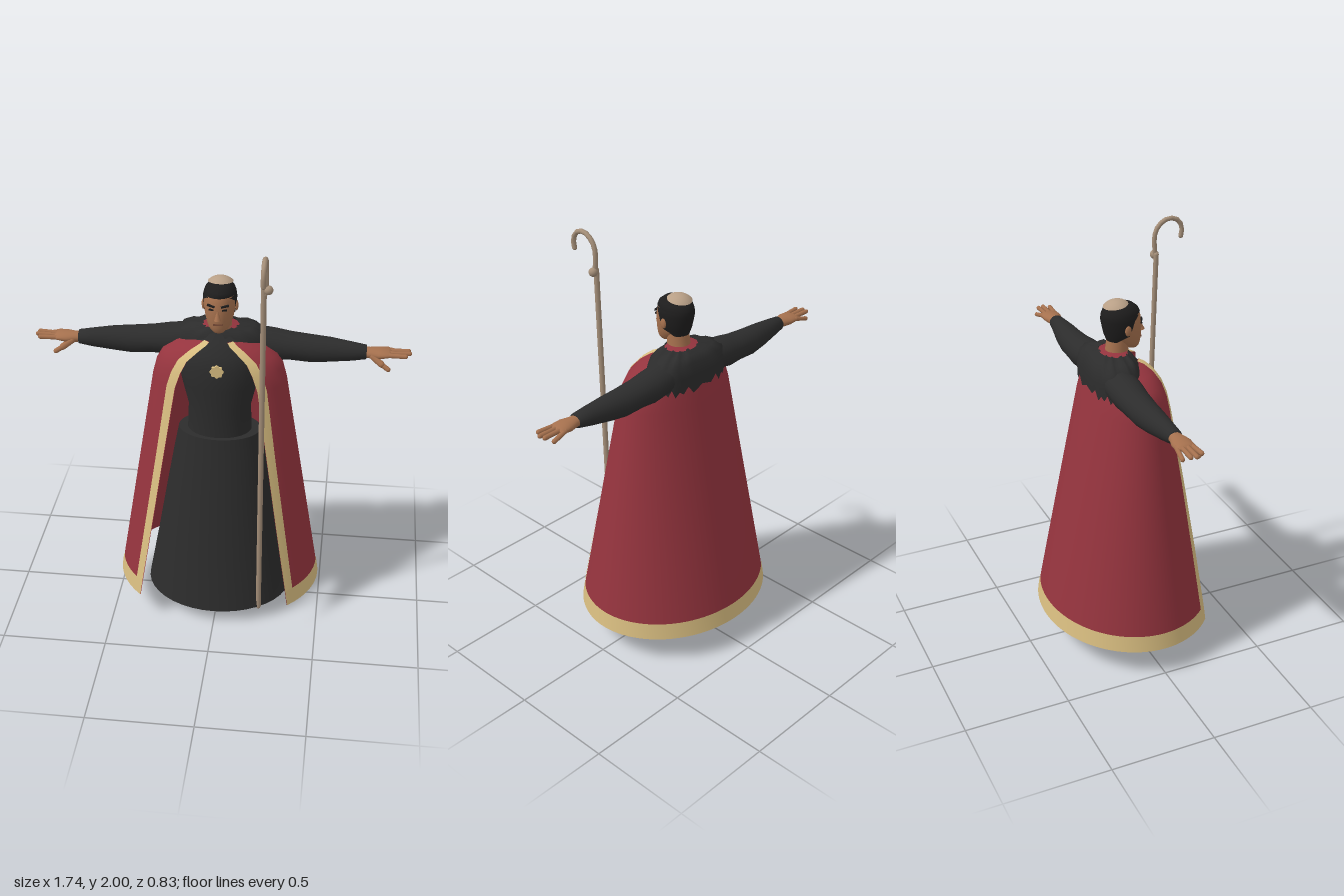
import * as THREE from 'three';

const mat = (name, color, side = THREE.FrontSide) => {
  const m = new THREE.MeshStandardMaterial({ color, side });
  m.name = name;
  return m;
};

const TAU = Math.PI * 2;
const rad = THREE.MathUtils.degToRad;

// Skin a surface over elliptical rings [y, rx, rz, cz, cx, startAngle, endAngle];
// angles run from +z towards +x, rings rise in y. backPower < 1 squares the rear half.
function loft(rings, n = 28, wobble = null, backPower = 1) {
  const open = rings[0].length > 5;
  const cols = open ? n + 1 : n;
  const pos = [], idx = [];
  rings.forEach(([y, rx, rz, cz = 0, cx = 0, a0 = 0, a1 = TAU], i) => {
    for (let j = 0; j < cols; j++) {
      const a = a0 + (a1 - a0) * j / n;
      const p = Math.cos(a) < 0 ? backPower : 1;
      const bend = v => Math.sign(v) * Math.abs(v) ** p;
      pos.push(cx + rx * bend(Math.sin(a)), y + (wobble ? wobble(i, j) : 0), cz + rz * bend(Math.cos(a)));
    }
  });
  for (let i = 0; i < rings.length - 1; i++) {
    for (let j = 0; j < n; j++) {
      const a = i * cols + j, b = i * cols + (j + 1) % cols;
      idx.push(a, b, a + cols, b, b + cols, a + cols);
    }
  }
  const g = new THREE.BufferGeometry();
  g.setAttribute('position', new THREE.Float32BufferAttribute(pos, 3));
  g.setIndex(idx);
  g.computeVertexNormals();
  return g;
}

export function createModel() {
  const model = new THREE.Group();
  const black = mat('blackCloth', 0x2c2c2c, THREE.DoubleSide);
  const red = mat('redCloth', 0x95343e, THREE.DoubleSide);
  const gold = mat('goldTrim', 0xd8bd80);
  const skin = mat('skin', 0xa6714e);
  const hairMat = mat('hair', 0x1e1d1d, THREE.DoubleSide);
  const capMat = mat('capCloth', 0xb89f86, THREE.DoubleSide);
  const wood = mat('staffWood', 0xa58f79);
  const lipMat = mat('lips', 0x7a4c38);

  const add = (name, geo, material, parent = model) => {
    const m = new THREE.Mesh(geo, material);
    m.name = name;
    parent.add(m);
    return m;
  };
  // Rounded rod between two points
  const rod = (name, a, b, r, material, parent) => {
    const p = new THREE.Vector3(...a), q = new THREE.Vector3(...b), d = q.clone().sub(p);
    const m = add(name, new THREE.CapsuleGeometry(r, d.length(), 4, 8), material, parent);
    m.position.copy(p).add(q).multiplyScalar(0.5);
    m.quaternion.setFromUnitVectors(new THREE.Vector3(0, 1, 0), d.normalize());
  };
  const box = (name, w, h, d, x, y, z, material, rz = 0) => {
    const m = add(name, new THREE.BoxGeometry(w, h, d), material);
    m.position.set(x, y, z);
    m.rotation.z = rz;
    return m;
  };

  // Long skirt, open at the bottom
  add('skirt', loft([
    [0.07, 0.356, 0.297, -0.012], [0.35, 0.305, 0.245, -0.01], [0.65, 0.253, 0.19, -0.005],
    [0.85, 0.217, 0.15, 0], [0.968, 0.194, 0.13, 0],
  ], 40), black);
  add('skirtTop', loft([[0.968, 0.194, 0.13], [0.97, 0.1, 0.08]], 40), black);

  // Torso and ragged shoulder mantle
  add('torso', loft([
    [0.95, 0.152, 0.112], [1.1, 0.146, 0.112], [1.22, 0.174, 0.12], [1.32, 0.195, 0.13, -0.01],
    [1.39, 0.19, 0.125, -0.025], [1.44, 0.15, 0.1, -0.04], [1.472, 0.1, 0.075, -0.04],
    [1.487, 0.06, 0.055, -0.035],
  ], 32), black);
  add('shoulderMantle', loft([
    [1.335, 0.205, 0.118, -0.06], [1.4, 0.215, 0.118, -0.06], [1.45, 0.2, 0.105, -0.06],
    [1.475, 0.15, 0.085, -0.055], [1.487, 0.078, 0.06, -0.042],
  ], 44, (i, j) => i === 0 ? [0.02, -0.02, 0.005, -0.01][j % 4] : (i > 1 && j % 4 === 1 ? 0.008 : 0), 0.65), black);
  add('capeCollar', loft([
    [1.489, 0.084, 0.066, -0.044, 0, rad(50), rad(310)], [1.496, 0.05, 0.05, -0.03, 0, rad(50), rad(310)],
  ], 24), red);

  // Cape rows: [y, rx, rz, cz, opening half angle, trim angle]
  const cape = [
    [0.14, 0.49, 0.41, 0, 47, 6], [0.22, 0.478, 0.397, 0, 46.5, 6], [0.55, 0.424, 0.332, 0, 44, 7],
    [0.9, 0.367, 0.262, 0, 41, 8], [1.25, 0.31, 0.19, 0, 37, 10], [1.32, 0.292, 0.172, 0, 34, 10.5],
    [1.375, 0.262, 0.155, -0.005, 31, 11], [1.415, 0.2, 0.135, -0.015, 26, 13],
    [1.437, 0.13, 0.11, -0.02, 24, 16], [1.446, 0.085, 0.09, -0.02, 28, 20],
  ];
  const band = (rows, from, to, out = 0) => rows.map(([y, rx, rz, cz, t, w]) =>
    [y, rx + out, rz + out, cz, 0, rad(from(t, w)), rad(to(t, w))]);
  add('capeCloth', loft(band(cape, t => t, t => 360 - t), 72), red);
  // Gold trim shows on the outer face only; the lining stays red
  add('capeHem', loft(band(cape.slice(0, 2), t => t, t => 360 - t, 0.003), 72), gold);
  add('capeTrimLeft', loft(band(cape.slice(1), t => t, (t, w) => t + w, 0.003), 5), gold);
  add('capeTrimRight', loft(band(cape.slice(1), (t, w) => 360 - t - w, t => 360 - t, 0.003), 5), gold);

  // Brooch on the chest: scalloped disc
  const disc = new THREE.Shape();
  for (let k = 0; k <= 32; k++) {
    const a = k / 32 * TAU, r = 0.029 + 0.003 * Math.cos(a * 8);
    disc[k ? 'lineTo' : 'moveTo'](r * Math.cos(a), r * Math.sin(a));
  }
  add('brooch', new THREE.ExtrudeGeometry(disc, { depth: 0.012, bevelEnabled: false }), gold)
    .position.set(0, 1.33, 0.12);

  // Neck and head
  add('neck', loft([[1.43, 0.06, 0.06, -0.035], [1.485, 0.053, 0.054, -0.03], [1.57, 0.05, 0.052, -0.02]], 20), skin);
  add('head', loft([
    [1.494, 0.002, 0.002, 0.045], [1.497, 0.025, 0.025, 0.045], [1.51, 0.04, 0.042, 0.036],
    [1.53, 0.053, 0.06, 0.023], [1.56, 0.063, 0.078, 0.008], [1.6, 0.07, 0.087, 0.001],
    [1.65, 0.072, 0.089, -0.006], [1.685, 0.065, 0.08, -0.01], [1.708, 0.045, 0.056, -0.012],
    [1.718, 0.002, 0.002, -0.012],
  ]), skin);
  const hairRow = (y, rx, rz, cz, t) => [y, rx, rz, cz, 0, rad(t), rad(360 - t)];
  add('hair', loft([
    hairRow(1.545, 0.058, 0.07, -0.008, 125), hairRow(1.575, 0.069, 0.085, -0.004, 84),
    hairRow(1.61, 0.074, 0.092, -0.005, 76), hairRow(1.645, 0.077, 0.095, -0.009, 66),
    hairRow(1.662, 0.075, 0.092, -0.01, 48), hairRow(1.671, 0.073, 0.09, -0.011, 0),
    hairRow(1.69, 0.066, 0.082, -0.011, 0), hairRow(1.71, 0.046, 0.058, -0.012, 0),
    hairRow(1.722, 0.002, 0.002, -0.012, 0),
  ], 36), hairMat);
  const cap = add('skullcap', new THREE.SphereGeometry(0.082, 28, 8, 0, TAU, 0, 0.78), capMat);
  cap.position.set(0, 1.651, -0.026);
  cap.rotation.x = -0.14;

  // Face
  const nose = add('nose', new THREE.ConeGeometry(0.016, 0.055, 8), skin);
  nose.position.set(0, 1.597, 0.087);
  nose.rotation.x = -0.2;
  box('mouth', 0.04, 0.008, 0.008, 0, 1.546, 0.081, lipMat);
  for (const s of [1, -1]) {
    box('eye', 0.022, 0.007, 0.008, s * 0.029, 1.618, 0.079, hairMat).rotation.y = s * 0.35;
    box('eyebrow', 0.036, 0.008, 0.009, s * 0.031, 1.636, 0.078, hairMat, s * 0.12).rotation.y = s * 0.35;
    const ear = add('ear', new THREE.SphereGeometry(0.02, 10, 8), skin);
    ear.scale.set(0.4, 1.25, 0.8);
    ear.position.set(s * 0.075, 1.605, -0.005);
  }

  for (const s of [1, -1]) {
    // Limb lofted upward, then laid along the side axis: [x, ry, rz, cy, cz]
    const limb = rows => loft(rows.map(([x, ry, rz, cy, cz]) => [x, ry, rz, cz, -s * cy]), 20)
      .rotateZ(-s * Math.PI / 2);
    add('sleeve', limb([
      [0.15, 0.07, 0.08, 1.395, -0.08], [0.25, 0.074, 0.077, 1.38, -0.08], [0.32, 0.065, 0.071, 1.376, -0.08],
      [0.42, 0.065, 0.064, 1.368, -0.078], [0.5, 0.058, 0.056, 1.37, -0.074], [0.6, 0.045, 0.042, 1.371, -0.066],
      [0.665, 0.033, 0.035, 1.373, -0.062], [0.668, 0.015, 0.015, 1.373, -0.062],
    ]), black);
    const hand = new THREE.Group();
    hand.name = 'hand';
    model.add(hand);
    add('palm', limb([
      [0.64, 0.024, 0.028, 1.373, -0.062], [0.68, 0.024, 0.032, 1.372, -0.06], [0.72, 0.024, 0.045, 1.373, -0.06],
      [0.765, 0.017, 0.046, 1.376, -0.063], [0.78, 0.004, 0.035, 1.377, -0.063],
    ]), skin, hand);
    [[-0.098, -0.105, 0.825], [-0.077, -0.083, 0.855], [-0.054, -0.057, 0.86], [-0.032, -0.027, 0.842]]
      .forEach(([z0, z1, x], k) =>
        rod('finger', [s * 0.755, 1.376, z0], [s * x, 1.378 - (k === 0 ? 0.02 : 0), z1], 0.0108, skin, hand));
    rod('thumb', [s * 0.695, 1.365, -0.035], [s * 0.735, 1.34, -0.012], 0.016, skin, hand);
    rod('thumbTip', [s * 0.735, 1.34, -0.012], [s * 0.766, 1.322, 0], 0.0115, skin, hand);

    // Legs, shoes and soles
    add('leg', loft([[0.05, 0.032, 0.036, -0.075, s * 0.12], [0.18, 0.036, 0.04, -0.07, s * 0.115],
      [0.32, 0.05, 0.055, -0.06, s * 0.105], [0.6, 0.06, 0.065, -0.03, s * 0.09]], 16), skin);
    add('shoe', loft([
      [0.006, 0.002, 0.002, 0, s * 0.125], [0.007, 0.055, 0.125, -0.005, s * 0.125],
      [0.035, 0.055, 0.124, -0.005, s * 0.125], [0.05, 0.046, 0.098, -0.03, s * 0.123],
      [0.065, 0.041, 0.062, -0.066, s * 0.12], [0.1, 0.037, 0.042, -0.075, s * 0.12],
    ], 24), black);
    for (const [z, length] of [[0.06, 0.036], [-0.075, 0.03]]) {
      const sole = add('solePatch', new THREE.CylinderGeometry(1, 1, 0.008, 20), lipMat);
      sole.scale.set(0.032, 1, length);
      sole.position.set(s * 0.125, 0.004, z);
    }
  }

  // Crook staff
  rod('staffShaft', [0.216, 0.067, 0.216], [0.217, 1.825, 0.268], 0.0125, wood);
  const hook = new THREE.CatmullRomCurve3([
    [1.8, 0.268], [1.92, 0.264], [1.965, 0.288], [1.988, 0.335], [1.972, 0.383], [1.93, 0.402], [1.896, 0.397],
  ].map(([y, z]) => new THREE.Vector3(0.225, y, z)));
  add('staffHook', new THREE.TubeGeometry(hook, 12, 0.0115, 8), wood);
  add('staffHookTip', new THREE.SphereGeometry(0.0115, 8, 6), wood).position.set(0.225, 1.896, 0.397);
  add('staffKnob', new THREE.SphereGeometry(0.021, 14, 10), wood).position.set(0.236, 1.82, 0.268);

  return model;
}
